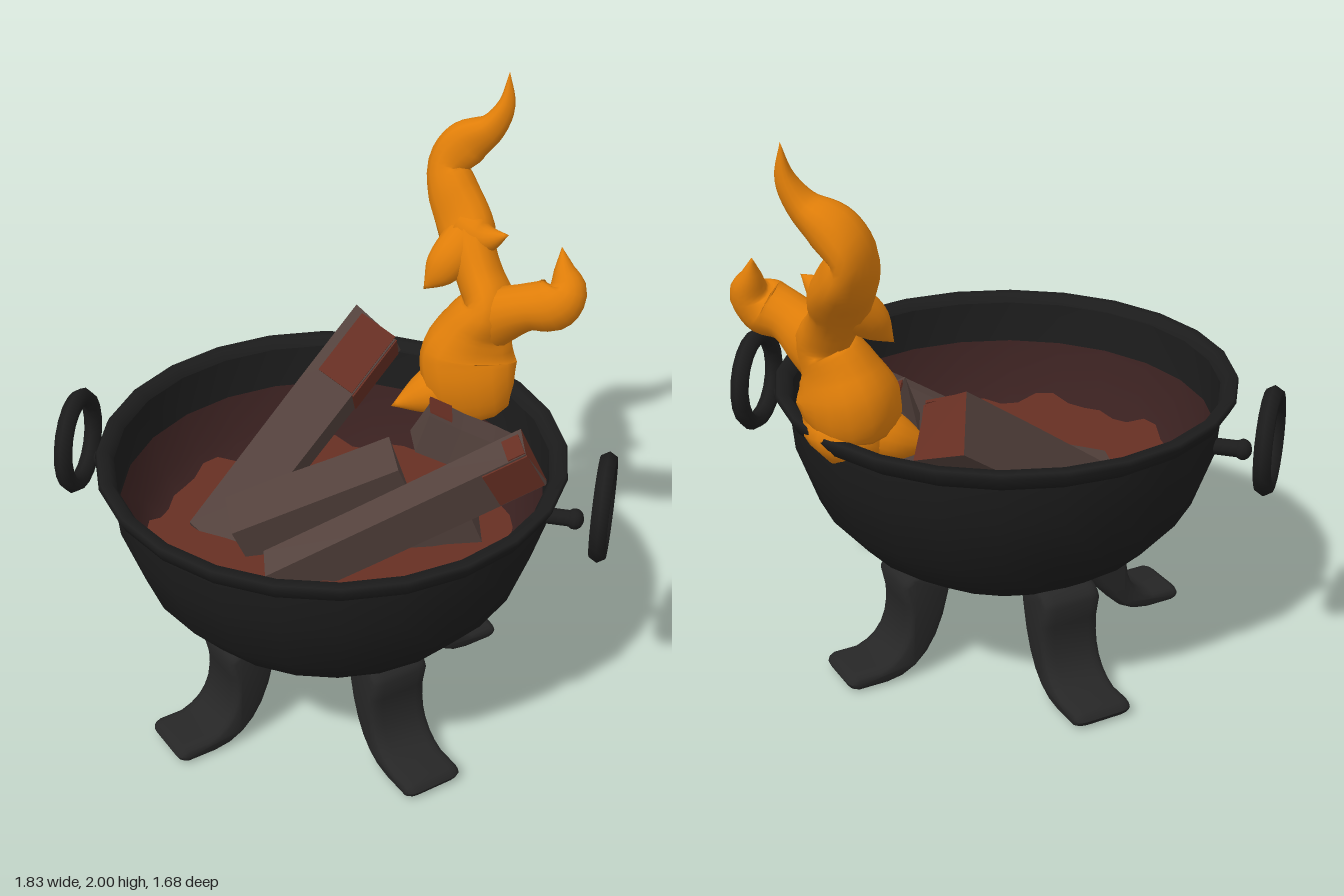
import * as THREE from 'three';
import { mergeVertices, toCreasedNormals } from 'three/addons/utils/BufferGeometryUtils.js';

const mat = (name, color, side = THREE.FrontSide) => {
  const m = new THREE.MeshStandardMaterial({ color, side });
  m.name = name;
  return m;
};
const V = (x, y, z) => new THREE.Vector3(x, y, z);
const CZ = 0.062; // bowl axis

export function createModel() {
  const iron = mat('black iron', 0x1c1c1c);
  const legIron = mat('leg iron', 0x262626);
  const ash = mat('dark ash', 0x3a2120, THREE.DoubleSide);
  const ember = mat('ember red', 0x672f23);
  const wood = mat('charred wood', 0x54423d);
  const fire = mat('flame orange', 0xe07e09, THREE.DoubleSide);

  const model = new THREE.Group();
  model.name = 'firePit';
  const add = (name, geometry, material, parent = model) => {
    const mesh = new THREE.Mesh(geometry, material);
    mesh.name = name;
    parent.add(mesh);
    return mesh;
  };
  const lathe = (pts) => new THREE.LatheGeometry(pts.map(([r, y]) => new THREE.Vector2(r, y)), 24);

  // Bowl: outside, flared lip, inside wall
  add('bowl', lathe([[0, 0.28], [0.13, 0.3], [0.38, 0.365], [0.52, 0.46], [0.64, 0.6], [0.712, 0.8],
    [0.725, 0.93]]), iron).position.z = CZ;
  add('bowlRim', lathe([[0.725, 0.93], [0.752, 0.948], [0.772, 0.985], [0.765, 1.0], [0.73, 1.0],
    [0.712, 0.97]]), iron).position.z = CZ;
  add('bowlInside', lathe([[0.712, 0.97], [0.703, 0.82], [0.69, 0.78]]), iron).position.z = CZ;

  // Ash lining and a dished ember bed with a ragged edge
  add('ashLining', lathe([[0.7, 0.825], [0.66, 0.69], [0.57, 0.565], [0, 0.52]]), ash).position.z = CZ;
  const bed = new THREE.CircleGeometry(0.61, 60).rotateX(-Math.PI / 2);
  const bp = bed.attributes.position;
  for (let i = 1; i < bp.count; i++) {
    const a = Math.atan2(bp.getZ(i), bp.getX(i));
    const r = 0.61 * (1 + 0.018 * Math.sin(9 * a) + 0.014 * Math.sin(17 * a + 1));
    bp.setXYZ(i, r * Math.cos(a), 0.047 + (r - 0.57) * 1.39, r * Math.sin(a));
  }
  add('emberBed', bed, ember).position.set(0, 0.53, CZ);

  // Four curved legs on the diagonals
  const profile = new THREE.Shape();
  profile.moveTo(0.28, 0.37);
  profile.lineTo(0.295, 0.3);
  profile.quadraticCurveTo(0.35, 0.025, 0.52, 0.02);
  profile.lineTo(0.62, 0.02);
  profile.quadraticCurveTo(0.65, 0.03, 0.62, 0.04);
  profile.lineTo(0.54, 0.04);
  profile.quadraticCurveTo(0.4, 0.08, 0.415, 0.27);
  profile.lineTo(0.43, 0.34);
  profile.quadraticCurveTo(0.415, 0.375, 0.37, 0.37);
  const legGeo = toCreasedNormals(new THREE.ExtrudeGeometry(profile, {
    depth: 0.13, bevelThickness: 0.04, bevelSize: 0.019, bevelSegments: 3, curveSegments: 6,
  }).translate(0, 0, -0.065), 0.8);
  for (let i = 0; i < 4; i++) {
    const leg = add('leg', legGeo, legIron);
    leg.rotation.y = Math.PI / 4 + i * Math.PI / 2;
    leg.position.set(-0.008, 0, CZ);
  }

  // Ring handles with their pegs
  for (const s of [-1, 1]) {
    const handle = new THREE.Group();
    handle.name = s > 0 ? 'leftHandle' : 'rightHandle';
    model.add(handle);
    const ring = add('ring', new THREE.TorusGeometry(0.15, 0.031, 6, 20), iron, handle);
    ring.rotation.y = Math.PI / 2;
    ring.position.set(s * 0.89, 0.88, 0.035);
    const peg = add('peg', new THREE.CylinderGeometry(0.028, 0.028, 0.09, 10), iron, handle);
    peg.rotation.z = Math.PI / 2;
    peg.position.set(s * 0.755, 0.83, 0.05);
    const knob = add('knob', new THREE.SphereGeometry(0.035, 12, 8), iron, handle);
    knob.scale.x = 0.85;
    knob.position.set(s * 0.804, 0.83, 0.05);
  }

  // Split logs: rough boxes from a low end to a high end, with ember patches
  const log = (name, low, high, w, h, roll, glowingEnd, patches = []) => {
    const group = new THREE.Group();
    group.name = name;
    const len = low.distanceTo(high);
    group.position.copy(low).lerp(high, 0.5);
    group.lookAt(high);
    group.rotateZ(roll);
    model.add(group);
    const geo = new THREE.BoxGeometry(w, h, len, 1, 1, 3).toNonIndexed();
    const p = geo.attributes.position;
    for (let i = 0; i < p.count; i++) {
      const [x, y, z] = [p.getX(i), p.getY(i), p.getZ(i)];
      const k = 1 + 0.03 * Math.sin(z * 23 + x * 40);
      p.setXYZ(i, x * k, y * k, z + 0.12 * x * Math.sign(y));
    }
    geo.computeVertexNormals();
    geo.clearGroups();
    geo.addGroup(0, p.count - 12, 0);
    geo.addGroup(p.count - 12, 6, glowingEnd ? 1 : 0);
    geo.addGroup(p.count - 6, 6, 0);
    add('log', geo, [wood, ember], group);
    // each patch: side, centre along the log (fraction), length
    for (const [side, z, size] of patches) {
      const patch = add('emberPatch', side === 'top'
        ? new THREE.BoxGeometry(w * 0.8, 0.009, size)
        : new THREE.BoxGeometry(0.009, h * 0.94, size), ember, group);
      if (side === 'top') patch.position.set(-w * 0.08, h / 2 + 0.002, z * len);
      else patch.position.set(-w / 2 - 0.002, 0, z * len);
    }
  };
  log('tallLog', V(-0.43, 0.53, 0.05), V(0.015, 1.085, -0.58), 0.18, 0.19, 0.5, true,
    [['side', 0.36, 0.25], ['top', 0.365, 0.25]]);
  log('middleLog', V(-0.33, 0.62, 0.09), V(0.18, 0.78, -0.17), 0.17, 0.18, 0.15, false);
  log('frontLog', V(-0.16, 0.55, 0.21), V(0.645, 0.985, -0.045), 0.11, 0.17, 0.22, true,
    [['side', 0.41, 0.16], ['top', 0.46, 0.06]]);
  log('shortLog', V(0.57, 0.81, -0.25), V(0.25, 0.96, -0.2), 0.14, 0.14, 0.1, false, [['top', 0.4, 0.08]]);
  log('buriedLog', V(0.1, 0.62, -0.06), V(0.46, 0.7, -0.1), 0.14, 0.14, 0.2, false);

  // Flame tongues: tubes whose section changes, rows of [x, y, z, rx, rz]
  const tongue = (name, rows, steps, ripple = 0) => {
    const path = new THREE.CatmullRomCurve3(rows.map((r) => V(r[0], r[1], r[2])));
    const radii = new THREE.CatmullRomCurve3(rows.map((r) => V(r[3], (r[3] + r[4]) / 2, r[4])), false, 'catmullrom', 0.5);
    const sides = 16;
    const tube = new THREE.TubeGeometry(path, steps, 1, sides, false);
    const p = tube.attributes.position;
    const v = V(0, 0, 0);
    for (let i = 0; i <= steps; i++) {
      const u = i / steps;
      const c = path.getPointAt(u);
      const r = radii.getPoint(path.getUtoTmapping(u));
      for (let j = 0; j <= sides; j++) {
        const k = i * (sides + 1) + j;
        const wave = 1 + ripple * Math.sin((j / sides) * Math.PI * 6 + u * 9);
        v.fromBufferAttribute(p, k).sub(c);
        v.multiply(r).multiplyScalar(wave).add(c);
        p.setXYZ(k, v.x, v.y, v.z);
      }
    }
    tube.deleteAttribute('uv');
    tube.deleteAttribute('normal');
    const geo = mergeVertices(tube, 1e-4);
    geo.computeVertexNormals();
    add(name, geo, fire);
  };
  tongue('mainFlame', [
    [0.38, 0.87, -0.51, 0.02, 0.02], [0.37, 0.92, -0.49, 0.13, 0.12], [0.36, 1.0, -0.455, 0.155, 0.125],
    [0.35, 1.1, -0.48, 0.165, 0.135], [0.38, 1.2, -0.48, 0.125, 0.11], [0.42, 1.28, -0.48, 0.09, 0.1],
    [0.38, 1.36, -0.53, 0.08, 0.08], [0.34, 1.43, -0.58, 0.085, 0.075], [0.31, 1.5, -0.64, 0.1, 0.075],
    [0.25, 1.59, -0.71, 0.085, 0.1],
    [0.22, 1.67, -0.75, 0.065, 0.095], [0.28, 1.75, -0.76, 0.08, 0.075], [0.36, 1.81, -0.76, 0.05, 0.05],
    [0.405, 1.89, -0.77, 0.03, 0.03], [0.41, 2.0, -0.785, 0, 0],
  ], 64, 0.07);
  tongue('sideFlame', [
    [0.4, 1.2, -0.48, 0.1, 0.08], [0.47, 1.27, -0.46, 0.1, 0.085], [0.56, 1.325, -0.43, 0.08, 0.08],
    [0.64, 1.35, -0.42, 0.095, 0.085], [0.68, 1.395, -0.44, 0.07, 0.065], [0.665, 1.46, -0.465, 0.035, 0.04],
    [0.65, 1.53, -0.485, 0, 0],
  ], 28);
  tongue('leftWisp', [
    [0.33, 1.48, -0.61, 0.09, 0.06], [0.27, 1.41, -0.55, 0.075, 0.06], [0.235, 1.36, -0.52, 0.055, 0.04],
    [0.19, 1.31, -0.5, 0, 0],
  ], 14);
  tongue('upperWisp', [
    [0.31, 1.5, -0.62, 0.085, 0.06], [0.38, 1.485, -0.58, 0.06, 0.05], [0.465, 1.52, -0.55, 0, 0],
  ], 12);
  tongue('lowWisp', [
    [0.34, 1.0, -0.46, 0.1, 0.09], [0.22, 0.95, -0.42, 0.07, 0.08], [0.11, 0.91, -0.37, 0, 0],
  ], 12);
  return model;
}
